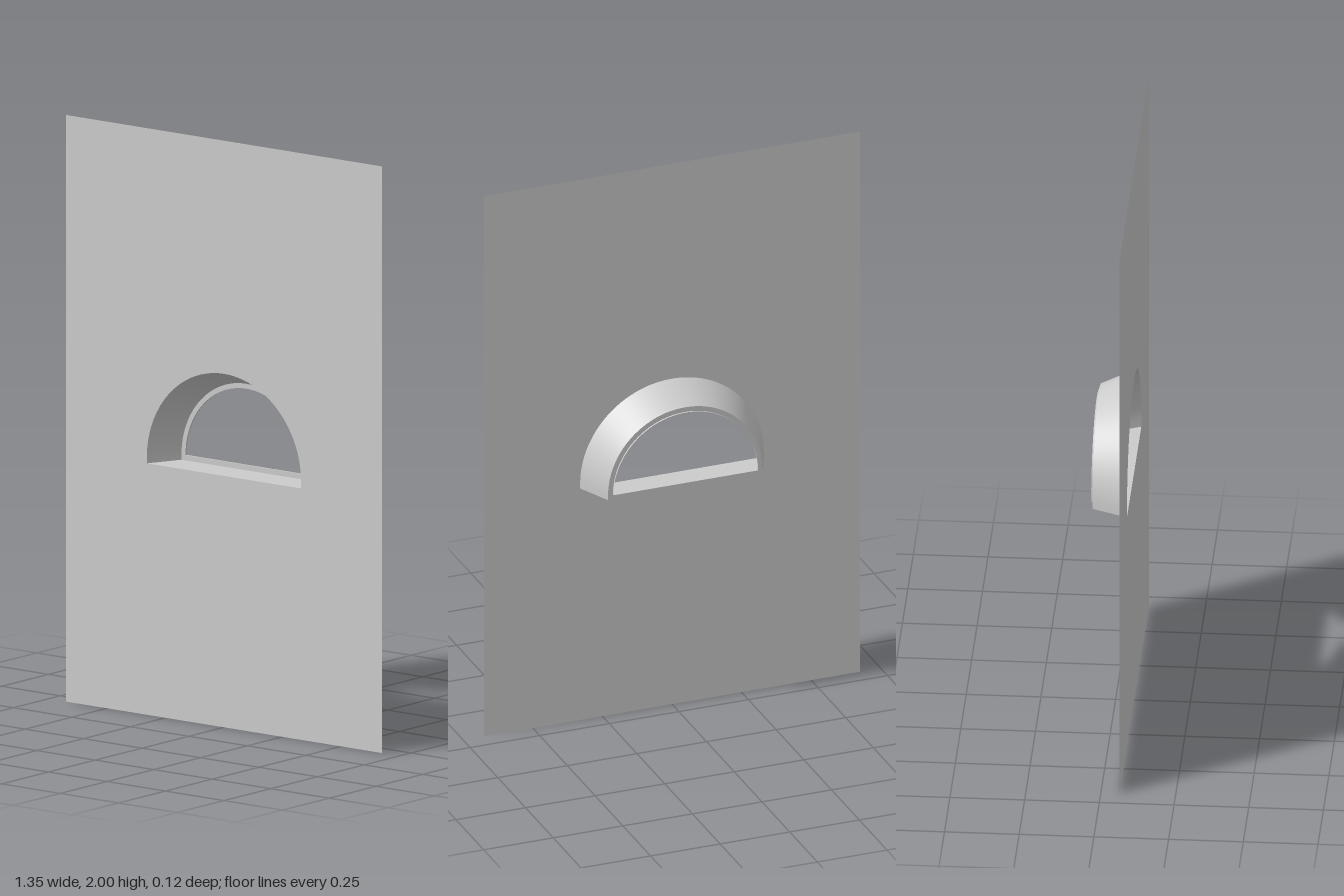
import * as THREE from 'three';
import { toCreasedNormals } from 'three/addons/utils/BufferGeometryUtils.js';

const CENTER_Y = 0.875;   // centre of the arch
const FLOOR_Y = 0.857;    // floor of the recess
const FRONT_Z = 0.062, BACK_Z = -0.057, LIP_Z = -0.063;
const SEGMENTS = 48;

// Half-round outline, counter-clockwise from the lower right corner
function archPoints(radius, bottom) {
  const points = [];
  if (bottom < CENTER_Y) points.push(new THREE.Vector2(radius, bottom));
  for (let i = 0; i <= SEGMENTS; i++) {
    const a = (Math.PI * i) / SEGMENTS;
    points.push(new THREE.Vector2(radius * Math.cos(a), CENTER_Y + radius * Math.sin(a)));
  }
  if (bottom < CENTER_Y) points.push(new THREE.Vector2(-radius, bottom));
  return points;
}

// Closed wall joining a front outline to a back outline
function wall(front, zFront, back, zBack) {
  const positions = [], index = [], n = front.length;
  for (let i = 0; i < n; i++) {
    positions.push(front[i].x, front[i].y, zFront, back[i].x, back[i].y, zBack);
    const a = 2 * i, b = 2 * ((i + 1) % n);
    index.push(a, a + 1, b, b, a + 1, b + 1);
  }
  const geometry = new THREE.BufferGeometry();
  geometry.setAttribute('position', new THREE.Float32BufferAttribute(positions, 3));
  geometry.setIndex(index);
  return toCreasedNormals(geometry, Math.PI / 6);
}

// Flat sheet with one opening
function sheet(outline, opening, z) {
  const shape = new THREE.Shape(outline);
  shape.holes.push(new THREE.Path(opening));
  return new THREE.ShapeGeometry(shape).translate(0, 0, z);
}

export function createModel() {
  const group = new THREE.Group();
  const material = new THREE.MeshStandardMaterial({ color: 0xcccccc, side: THREE.DoubleSide });
  const add = (name, geometry) => {
    const mesh = new THREE.Mesh(geometry, material);
    mesh.name = name;
    group.add(mesh);
  };

  const mouth = archPoints(0.33, FLOOR_Y);
  const rear = archPoints(0.277, FLOOR_Y);
  const opening = archPoints(0.26, CENTER_Y);
  const panel = [[-0.676, 0], [0.676, 0], [0.676, 2], [-0.676, 2]]
    .map(([x, y]) => new THREE.Vector2(x, y));

  // Thin wall panel with the arched hole
  add('wallPanel', sheet(panel, mouth, FRONT_Z));
  // Tapering sides and level floor of the recess
  add('recess', wall(mouth, FRONT_Z, rear, BACK_Z));
  // Narrow frame around the rear opening
  add('openingFrame', sheet(rear, opening, BACK_Z));
  // Short lip standing out behind the frame
  add('openingLip', wall(opening, BACK_Z, opening, LIP_Z));

  return group;
}
